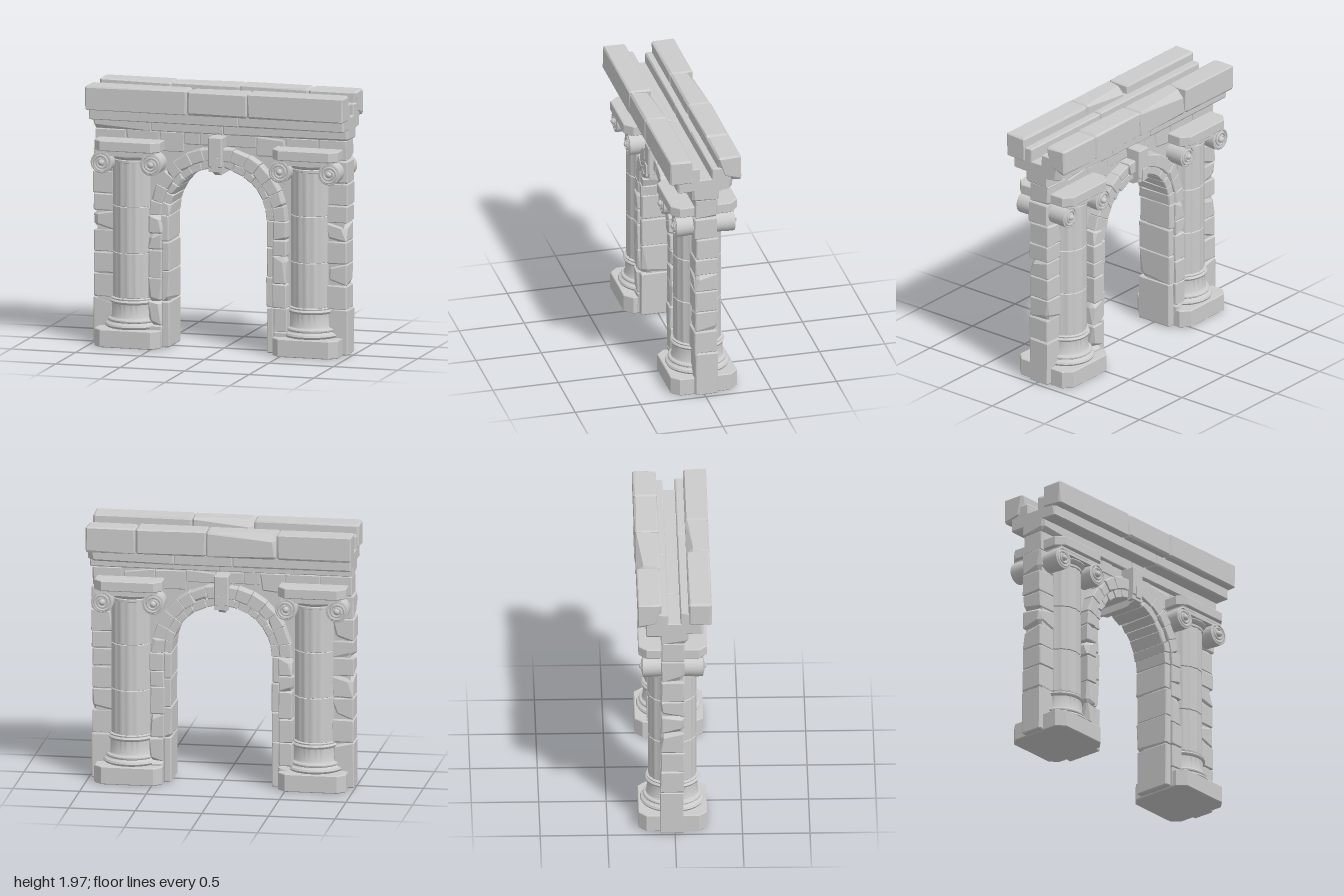
import * as THREE from 'three';
import { toCreasedNormals } from 'three/addons/utils/BufferGeometryUtils.js';
import { ConvexGeometry } from 'three/addons/geometries/ConvexGeometry.js';

const MID = -0.015; // wall centre in z
const ARCH_X = -0.01, ARCH_Y = 1.0;
const smooth = new THREE.MeshStandardMaterial({ color: 0xcccccc, side: THREE.DoubleSide });
const rough = new THREE.MeshStandardMaterial({ color: 0xcccccc, flatShading: true });

let seed = 11;
const rand = () => (seed = (seed * 16807) % 2147483647) / 2147483647;

function add(parent, name, geometry, material = smooth, x = 0, y = 0, z = 0) {
  const mesh = new THREE.Mesh(geometry, material);
  mesh.name = name;
  mesh.position.set(x, y, z);
  parent.add(mesh);
  return mesh;
}

// Chipped block between two corners; warp can bend its points, e.g. round an arch
function stone(parent, name, [x0, x1], [y0, y1], [z0, z1], chip = 0.006, warp = p => p) {
  const c = new THREE.Vector3((x0 + x1) / 2, (y0 + y1) / 2, (z0 + z1) / 2);
  const h = new THREE.Vector3((x1 - x0) / 2 - 0.001, (y1 - y0) / 2 - 0.001, (z1 - z0) / 2);
  const points = [];
  for (const sx of [-1, 1]) for (const sy of [-1, 1]) for (const sz of [-1, 1]) {
    const big = rand() < 0.12 ? 4 : 1;
    const d = ['x', 'y', 'z'].map(a => Math.min(chip * big * (0.5 + rand()), h[a] * 0.6));
    for (let k = 0; k < 3; k++) {
      const e = d.map((v, i) => (i === k ? 0 : v));
      points.push(warp(new THREE.Vector3(
        c.x + sx * (h.x - e[0]), c.y + sy * (h.y - e[1]), c.z + sz * (h.z - e[2]))));
    }
  }
  add(parent, name, new ConvexGeometry(points), rough);
}

// Row of stones along x, split at the given places
function row(parent, name, xs, y, z, chip) {
  for (let i = 0; i + 1 < xs.length; i++) {
    const lift = (rand() - 0.5) * 0.008;
    stone(parent, name, [xs[i], xs[i + 1]], [y[0], y[1] + lift], z, chip);
  }
}

// Stack of stones along y
function stack(parent, name, ys, x, half, wobble) {
  for (let i = 0; i + 1 < ys.length; i++) {
    const dz = (rand() - 0.5) * wobble, dx = (rand() - 0.5) * 0.01;
    stone(parent, name, [x[0] + dx, x[1] + dx], [ys[i], ys[i + 1]],
      [MID - half + dz, MID + half + dz], 0.008);
  }
}

// Ring of wedge stones over the opening
function archRing(parent, name, count, r0, r1, half) {
  const warp = p => new THREE.Vector3(
    ARCH_X + p.y * Math.cos(p.x), ARCH_Y + p.y * Math.sin(p.x), p.z);
  const cuts = [];
  for (let i = 0; i <= count; i++) {
    const wobble = i % count ? (rand() - 0.5) * 0.05 : 0;
    cuts.push(Math.PI * i / count + wobble);
  }
  for (let i = 0; i < count; i++) {
    const out = rand() * 0.01;
    stone(parent, name, [cuts[i], cuts[i + 1]], [r0, r1 + out],
      [MID - half - out, MID + half + out], 0.007, warp);
  }
}

// Square slab with cut corners, lying flat
function slab(w, d, h, cut) {
  const x = w / 2, z = d / 2, b = 0.006;
  const shape = new THREE.Shape([[x - cut, -z], [x, -z + cut], [x, z - cut], [x - cut, z],
    [-x + cut, z], [-x, z - cut], [-x, -z + cut], [-x + cut, -z]].map(p => new THREE.Vector2(...p)));
  const g = new THREE.ExtrudeGeometry(shape, { depth: h - 2 * b, bevelSize: b, bevelThickness: b, bevelOffset: -b, bevelSegments: 1 });
  return g.rotateX(-Math.PI / 2).translate(0, b, 0);
}

// Half turned body facing +z
function halfLathe(profile, segments = 40) {
  const points = profile.map(([r, y]) => new THREE.Vector2(r, y));
  return new THREE.LatheGeometry(points, segments, -Math.PI / 2, Math.PI);
}

// Fluted drum: radius dips in shallow channels
function drum(y0, y1) {
  const g = halfLathe([[0.148, y0], [0.156, y0 + 0.004], [0.156, y1 - 0.004], [0.148, y1]], 96);
  const p = g.attributes.position;
  for (let i = 0; i < p.count; i++) {
    const a = Math.atan2(p.getX(i), p.getZ(i));
    const k = 1 - 0.03 * Math.pow(Math.abs(Math.sin(a * 8)), 1.5);
    p.setXYZ(i, p.getX(i) * k, p.getY(i), p.getZ(i) * k);
  }
  return toCreasedNormals(g, 0.6);
}

// Scroll with spiral rib and round eye
function volute(parent, x, side) {
  const g = new THREE.Group();
  g.name = 'volute';
  g.position.set(x, 1.387, 0);
  const roll = new THREE.LatheGeometry([[0.078, 0], [0.08, 0.1], [0.083, 0.14], [0.083, 0.198],
    [0.072, 0.201], [0.07, 0.188], [0, 0.188]].map(p => new THREE.Vector2(...p)), 36);
  add(g, 'scrollRoll', toCreasedNormals(roll.rotateX(Math.PI / 2), 0.5));
  const turns = [];
  for (let i = 0; i <= 48; i++) {
    const t = i / 48, a = Math.PI / 2 + side * t * Math.PI * 4, r = 0.074 - 0.047 * t;
    turns.push(new THREE.Vector3(r * Math.cos(a), r * Math.sin(a), 0.192 + 0.012 * t));
  }
  add(g, 'scrollSpiral', new THREE.TubeGeometry(new THREE.CatmullRomCurve3(turns), 90, 0.009, 6));
  add(g, 'scrollEye', new THREE.SphereGeometry(0.024, 16, 10), smooth, 0, 0, 0.203);
  parent.add(g);
}

// One face of a column, from base to capital
function halfColumn() {
  const g = new THREE.Group();
  g.name = 'column';
  const base = halfLathe([[0.19, 0.13], [0.208, 0.14], [0.215, 0.153], [0.208, 0.167], [0.19, 0.172],
    [0.184, 0.18], [0.192, 0.186], [0.194, 0.196], [0.188, 0.205], [0.172, 0.209], [0.164, 0.222],
    [0.163, 0.315], [0.172, 0.32], [0.178, 0.333], [0.172, 0.342], [0.165, 0.346],
    [0.168, 0.356], [0.15, 0.362]]);
  add(g, 'columnBase', toCreasedNormals(base, 0.7));
  const joints = [0.36, 0.7, 1.05, 1.4];
  for (let i = 0; i < 3; i++) add(g, 'columnDrum', drum(joints[i], joints[i + 1]));
  add(g, 'columnNeck', toCreasedNormals(halfLathe([[0.15, 1.38], [0.162, 1.385], [0.162, 1.4],
    [0.155, 1.405], [0.172, 1.415], [0.184, 1.432], [0.18, 1.45], [0.16, 1.455]]), 0.7));
  add(g, 'capitalBand', new THREE.BoxGeometry(0.38, 0.034, 0.198), smooth, 0, 1.455, 0.099);
  add(g, 'capitalTop', new THREE.BoxGeometry(0.44, 0.02, 0.2), smooth, 0, 1.471, 0.1);
  for (const s of [-1, 1]) volute(g, s * 0.192, s);
  return g;
}

export function createModel() {
  const model = new THREE.Group();
  model.name = 'stoneArch';

  // Wall core with the arched opening
  const wall = new THREE.Shape();
  wall.moveTo(-0.965, 0.01).lineTo(-0.395, 0.01).lineTo(-0.395, ARCH_Y);
  wall.absarc(ARCH_X, ARCH_Y, 0.385, Math.PI, 0, true);
  wall.lineTo(0.375, 0.01).lineTo(0.945, 0.01).lineTo(0.945, 1.63).lineTo(-0.965, 1.63);
  const core = new THREE.ExtrudeGeometry(wall, { depth: 0.155, bevelEnabled: false, curveSegments: 24 });
  add(model, 'wallCore', core, rough, 0, 0, MID - 0.0775);

  // Edge stones of both piers, and the deeper jamb stones beside the opening
  for (const s of [-1, 1]) {
    const span = (a, b) => (s < 0 ? [ARCH_X - b, ARCH_X - a] : [ARCH_X + a, ARCH_X + b]);
    stack(model, 'edgeStone', [0.005, 0.35, 0.53, 0.69, 0.86, 1, 1.13, 1.3, 1.47], span(0.82, 0.985), 0.087, 0.016);
    stack(model, 'outerJambStone', [0.005, 0.17, 0.35, 0.53, 0.74, 0.86, ARCH_Y], span(0.43, 0.537), 0.165, 0.01);
    stack(model, 'innerJambStone', [0.005, 0.35, 0.58, 0.8, ARCH_Y], span(0.375, 0.436), 0.145, 0.01);
  }
  archRing(model, 'outerArchStone', 14, 0.435, 0.528, 0.16);
  archRing(model, 'innerArchStone', 15, 0.375, 0.438, 0.142);
  row(model, 'spandrelStone', [-0.98, -0.74, -0.48, -0.29], [1.47, 1.62], [MID - 0.085, MID + 0.085]);
  row(model, 'spandrelStone', [0.27, 0.5, 0.75, 0.97], [1.47, 1.62], [MID - 0.085, MID + 0.085]);
  row(model, 'crownStone', [-0.29, -0.17, 0.02, 0.27], [1.53, 1.625], [MID - 0.085, MID + 0.085]);

  // Deep keystone with its bracket wrapped under the arch
  add(model, 'keystone', slab(0.108, 0.41, 0.225, 0.008), rough, -0.015, 1.39, MID);
  const belly = new THREE.Shape([[-0.195, 1.4], [-0.195, 1.36], [-0.12, 1.32], [0.12, 1.32], [0.195, 1.36], [0.195, 1.4]]
    .map(p => new THREE.Vector2(...p)));
  add(model, 'keystoneBelly', new THREE.ExtrudeGeometry(belly, { depth: 0.05, bevelEnabled: false })
    .rotateY(-Math.PI / 2), rough, 0.01, 0, MID);
  for (const s of [-1, 1]) {
    add(model, 'keystoneTab', new THREE.BoxGeometry(0.05, 0.09, 0.016), rough, -0.015, 1.415, MID + s * 0.207);
    add(model, 'keystoneFoot', new THREE.BoxGeometry(0.105, 0.04, 0.05), rough, -0.015, 1.375, MID + s * 0.17);
  }

  // Columns, front and back, between plinth and abacus
  for (const x of [-0.697, 0.683]) {
    add(model, 'plinth', slab(0.51, 0.51, 0.135, 0.06), rough, x, 0, MID);
    add(model, 'abacus', slab(0.51, 0.51, 0.078, 0.06), rough, x, 1.478, MID);
    for (const s of [-1, 1]) {
      const c = halfColumn();
      c.position.set(x, 0, MID + s * 0.025);
      if (s < 0) c.rotation.y = Math.PI;
      model.add(c);
    }
  }

  // Entablature: frieze, stepped courses and heavy cornices with a gutter between
  row(model, 'friezeStone', [-0.99, -0.54, 0.02, 0.99], [1.622, 1.8], [-0.105, 0.1]);
  row(model, 'frontCourse', [-0.99, 0.17, 0.99], [1.705, 1.9], [0.04, 0.21], 0.008);
  row(model, 'backCourse', [-0.99, -0.1, 0.34, 0.99], [1.685, 1.88], [-0.215, -0.05], 0.008);
  row(model, 'frontCornice', [-1, -0.21, 0.255, 1], [1.785, 1.975], [0.1, 0.272], 0.013);
  row(model, 'backCornice', [-1, -0.44, 0.09, 0.62, 0.995], [1.77, 1.965], [-0.275, -0.1], 0.013);
  return model;
}
